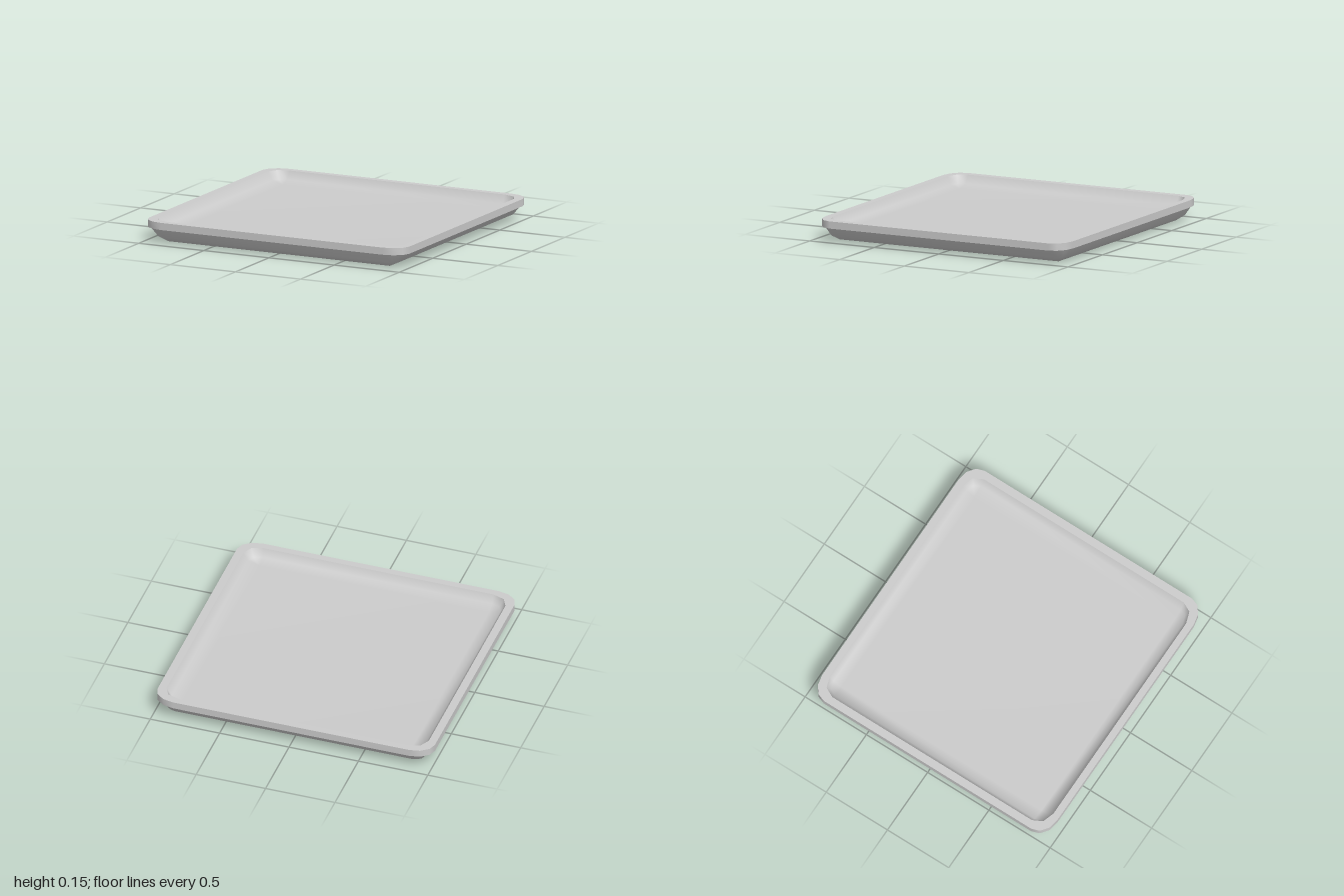
import * as THREE from 'three';
import { mergeVertices } from 'three/addons/utils/BufferGeometryUtils.js';

// Corner centres (half sizes), full corner radii and corner facets
const OUTER = { cx: 0.85, cz: 0.847, rx: 0.15, rz: 0.113, n: 3 };
const INNER = { cx: 0.826, cz: 0.815, rx: 0.119, rz: 0.097, n: 2 };

// Rounded rectangle whose corner radii are scaled by f (0 gives sharp corners)
function ring({ cx, cz, rx, rz, n }, f) {
  const points = [];
  for (let c = 0; c < 4; c++) {
    const sx = c === 0 || c === 3 ? 1 : -1;
    const sz = c < 2 ? 1 : -1;
    for (let i = 0; i <= n; i++) {
      const a = (c + i / n) * Math.PI / 2;
      points.push(new THREE.Vector2(
        sx * cx + rx * f * Math.cos(a),
        sz * cz + rz * f * Math.sin(a)
      ));
    }
  }
  return points;
}

// Skin through [f, y] levels; cap closes the first (bottom) or last (floor) level
function skin(outline, levels, cap) {
  const pos = [];
  const rings = levels.map(([f, y]) =>
    ring(outline, f).map(p => new THREE.Vector3(p.x, y, p.y)));
  const tri = (a, b, c) => {
    const area = new THREE.Triangle(a, b, c).getArea();
    if (area > 1e-7) for (const p of [a, b, c]) pos.push(p.x, p.y, p.z);
  };
  for (let k = 0; k + 1 < rings.length; k++) {
    const A = rings[k], B = rings[k + 1];
    for (let i = 0; i < A.length; i++) {
      const j = (i + 1) % A.length;
      tri(A[i], B[i], B[j]);
      tri(A[i], B[j], A[j]);
    }
  }
  if (cap) {
    const R = cap === 'bottom' ? rings[0] : rings[rings.length - 1];
    const q = [0, 1, 2, 3].map(c => R[c * (outline.n + 1)]);
    if (cap === 'floor') q.reverse();
    tri(q[0], q[1], q[2]);
    tri(q[0], q[2], q[3]);
  }
  const g = new THREE.BufferGeometry();
  g.setAttribute('position', new THREE.Float32BufferAttribute(pos, 3));
  const merged = mergeVertices(g, 1e-5);
  merged.computeVertexNormals();
  return merged;
}

export function createModel() {
  const tray = new THREE.Group();
  tray.name = 'tray';
  const material = new THREE.MeshStandardMaterial({ color: 0xcccccc });
  const add = (name, geometry) => {
    const mesh = new THREE.Mesh(geometry, material);
    mesh.name = name;
    tray.add(mesh);
  };

  // Curved underside with its flat base
  add('underside', skin(OUTER, [[0, 0], [0.5, 0.035], [0.87, 0.1]], 'bottom'));

  // Narrow ledge below the rim, and the upright rim band
  add('rimLedge', skin(OUTER, [[0.87, 0.1], [1, 0.1]]));
  add('rimSide', skin(OUTER, [[1, 0.1], [1, 0.15]]));

  // Flat rim top with the basin opening
  const top = new THREE.Shape(ring(OUTER, 1));
  top.holes.push(new THREE.Path(ring(INNER, 1)));
  add('rimTop', new THREE.ShapeGeometry(top).rotateX(-Math.PI / 2).translate(0, 0.15, 0));

  // Shallow basin curving down to the floor
  add('basin', skin(INNER, [[1, 0.15], [0.7, 0.093], [0, 0.07]], 'floor'));

  return tray;
}
